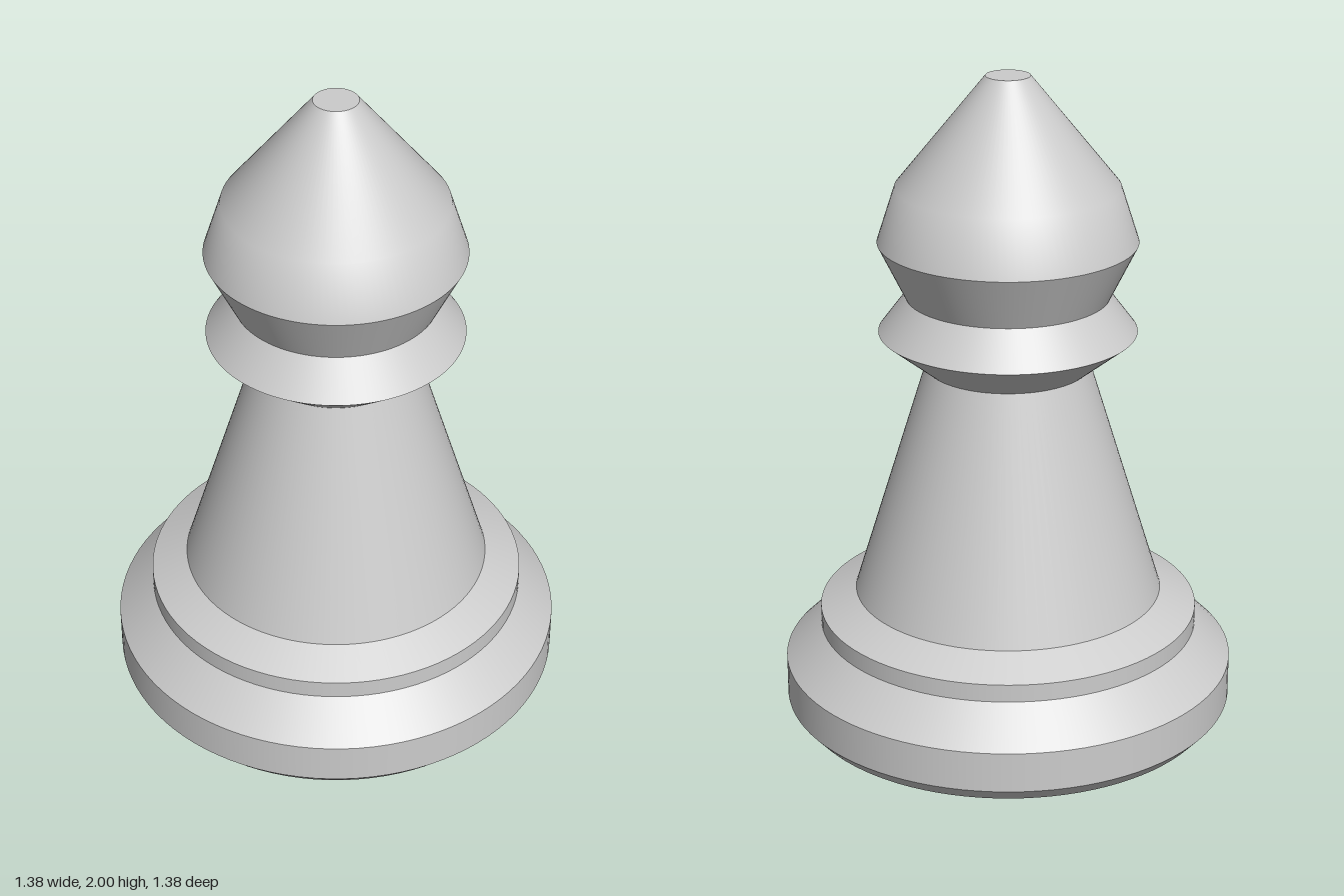
import * as THREE from 'three';
import { mergeGeometries } from 'three/addons/utils/BufferGeometryUtils.js';

const SEGMENTS = 96;

// Each band is a smooth run of [radius, height] points; edges between bands stay sharp.
const turned = (bands) => mergeGeometries(bands.map((band) =>
  new THREE.LatheGeometry(band.map(([r, y]) => new THREE.Vector2(r, y)), SEGMENTS)));

// Splits a profile into one sharp-edged band per segment.
const facets = (profile) => profile.slice(1).map((p, i) => [profile[i], p]);

export function createModel() {
  const group = new THREE.Group();
  const grey = new THREE.MeshStandardMaterial({ color: 0xcccccc });
  grey.name = 'light grey';

  const parts = {
    // Bevelled foot with a stepped ring above it
    base: facets([[0, 0], [0.65, 0], [0.69, 0.045], [0.69, 0.17],
      [0.58, 0.28], [0.58, 0.335], [0.47, 0.39]]),
    // Tapering stem
    body: [[[0.47, 0.39], [0.248, 1.113]]],
    // Sharp flange under the head
    collar: facets([[0.248, 1.113], [0.387, 1.225], [0.305, 1.335]]),
    // Undercut, smooth pointed dome, flat tip
    head: [
      [[0.305, 1.335], [0.387, 1.503]],
      [[0.387, 1.503], [0.333, 1.67], [0.066, 2]],
      [[0.066, 2], [0, 2]],
    ],
  };

  for (const [name, bands] of Object.entries(parts)) {
    const mesh = new THREE.Mesh(turned(bands), grey);
    mesh.name = name;
    group.add(mesh);
  }
  return group;
}
